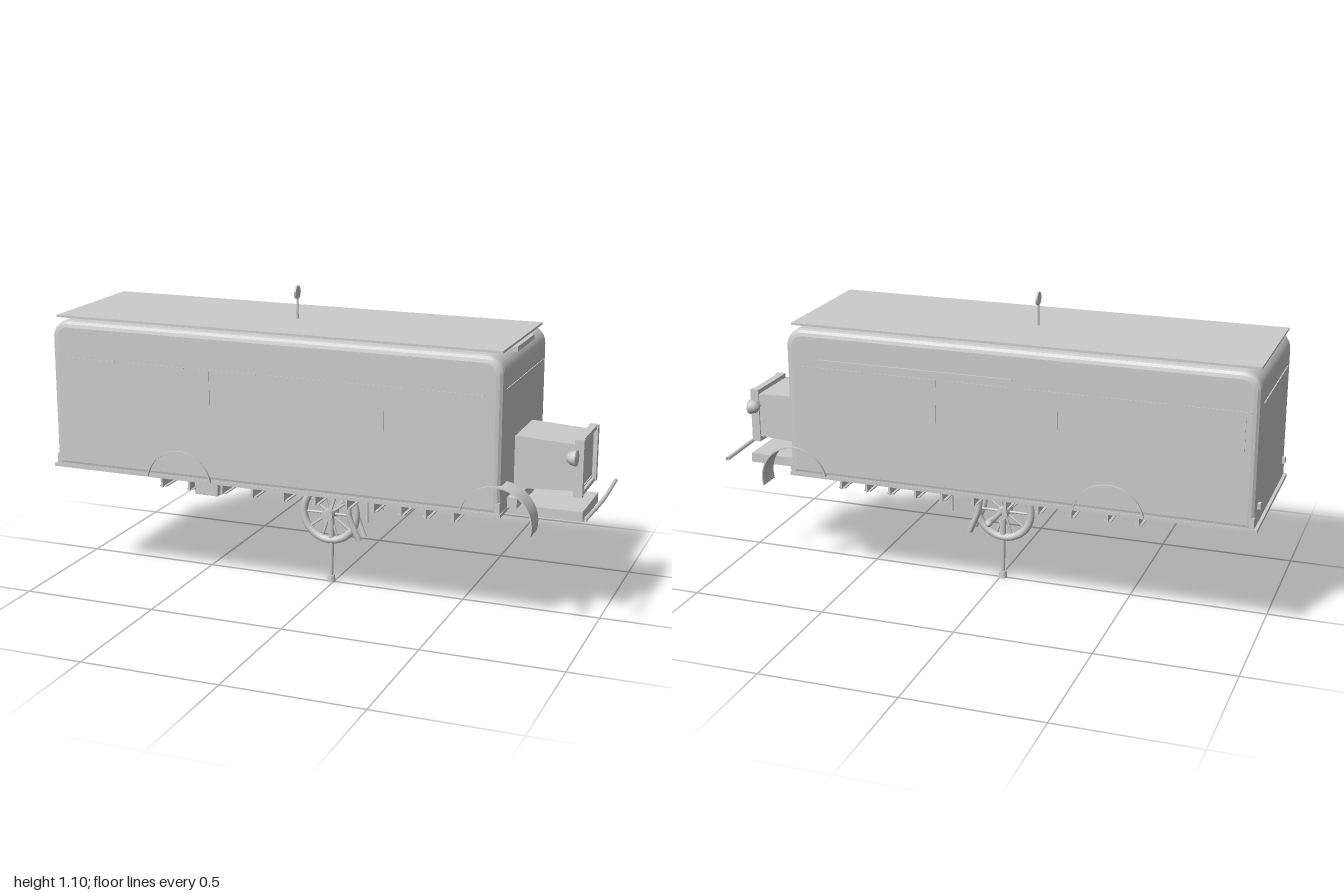
import * as THREE from 'three';

export function createModel() {
  const root = new THREE.Group();
  const mat = new THREE.MeshStandardMaterial({ color: 0xcccccc, side: THREE.DoubleSide });

  const add = (name, geo, x = 0, y = 0, z = 0) => {
    const m = new THREE.Mesh(geo, mat);
    m.name = name;
    m.position.set(x, y, z);
    root.add(m);
    return m;
  };
  // box given by its limits on each axis
  const box = (name, x0, x1, y0, y1, z0, z1) =>
    add(name, new THREE.BoxGeometry(x1 - x0, y1 - y0, z1 - z0), (x0 + x1) / 2, (y0 + y1) / 2, (z0 + z1) / 2);
  const tube = (name, pts, r, seg = 20) =>
    add(name, new THREE.TubeGeometry(new THREE.CatmullRomCurve3(pts.map(p => new THREE.Vector3(...p))), seg, r, 8));
  const rod = (name, r0, r1, h, x, y, z) => add(name, new THREE.CylinderGeometry(r1, r0, h, 16), x, y, z);
  // curved strip in the xy plane, extruded from z0 to z1
  const arch = (name, x, y, r, t, a0, a1, z0, z1) => {
    const s = new THREE.Shape();
    s.absarc(0, 0, r, a0, a1, false);
    s.absarc(0, 0, r - t, a1, a0, true);
    return add(name, new THREE.ExtrudeGeometry(s, { depth: z1 - z0, bevelEnabled: false, curveSegments: 24 }), x, y, z0);
  };

  // Body: side profile with rounded roof ends, bevelled toward both sides
  const x0 = -0.962, x1 = 0.682, y0 = 0.445, y1 = 0.947, r = 0.04;
  const side = new THREE.Shape();
  side.moveTo(x0, y0);
  side.lineTo(x1, y0);
  side.lineTo(x1, y1 - r);
  side.absarc(x1 - r, y1 - r, r, 0, Math.PI / 2, false);
  side.lineTo(x0 + r, y1);
  side.absarc(x0 + r, y1 - r, r, Math.PI / 2, Math.PI, false);
  add('body', new THREE.ExtrudeGeometry(side, {
    depth: 0.524, bevelThickness: 0.024, bevelSize: 0.024, bevelSegments: 3, curveSegments: 6,
  }), 0, 0, -0.262);
  box('skirt', -0.997, 0.708, 0.42, 0.432, -0.287, 0.287);
  box('bodyFloor', -0.985, 0.705, 0.421, 0.47, -0.284, 0.284);
  box('roofPanel', -0.98, 0.695, 0.976, 0.984, -0.255, 0.255);
  box('frontSign', 0.67, 0.705, 0.953, 0.971, -0.11, 0.11);

  // Side trim and door seams
  for (const s of [1, -1]) {
    const z = 0.2865 * s;
    for (let i = 0; i < 6; i++)
      box('beltTrim', -0.96 + i * 0.275, -0.73 + i * 0.275, 0.834, 0.838, z - 0.002, z + 0.002);
    for (const x of s > 0 ? [-0.36, 0.29] : [0.14, -0.3, -0.94])
      box('doorSeam', x - 0.002, x + 0.002, 0.68, 0.836, z - 0.002, z + 0.002);
    box('tailLamp', -0.997, -0.98, 0.49, 0.51, s * 0.235 - 0.01, s * 0.235 + 0.01);
  }
  box('gutter', -0.14, 0.58, 0.862, 0.868, -0.292, -0.285);
  box('rearTrim', -0.99, -0.983, 0.852, 0.856, -0.22, 0.22);
  box('frontTrim', 0.7, 0.709, 0.852, 0.856, -0.24, 0.24);

  // Roof mirror on a stalk
  rod('roofStalk', 0.005, 0.0035, 0.09, -0.14, 1.02, 0);
  rod('roofDisc', 0.024, 0.024, 0.007, -0.14, 1.08, 0).rotation.z = Math.PI / 2;

  // Hood, narrowing slightly toward the grille
  const hood = new THREE.BoxGeometry(0.215, 0.185, 0.23);
  const p = hood.attributes.position;
  for (let i = 0; i < p.count; i++) if (p.getX(i) > 0) {
    p.setY(i, p.getY(i) * 0.88);
    p.setZ(i, p.getZ(i) * 0.95);
  }
  hood.computeVertexNormals();
  add('hood', hood, 0.812, 0.57, 0);
  box('grille', 0.915, 0.93, 0.475, 0.66, -0.095, 0.095);
  for (const s of [1, -1]) {
    box('grilleSide', 0.913, 0.945, 0.468, 0.67, s * 0.105 - 0.01, s * 0.105 + 0.01);
    box('grilleRail', 0.913, 0.94, 0.568 + s * 0.094 - 0.007, 0.568 + s * 0.094 + 0.007, -0.1, 0.1);
  }
  box('grilleSill', 0.93, 0.934, 0.487, 0.491, -0.08, 0.08);
  box('cowl', 0.7, 0.74, 0.43, 0.468, -0.195, 0.195);

  // Headlights
  const lamp = [[0, -0.022], [0.012, -0.02], [0.022, -0.008], [0.027, 0.01], [0.027, 0.016], [0, 0.018]];
  for (const s of [1, -1]) {
    add('headlight', new THREE.LatheGeometry(lamp.map(q => new THREE.Vector2(...q)), 20),
      0.915, 0.615, s * 0.15).rotation.z = -Math.PI / 2;
    tube('headlightBracket', [[0.912, 0.61, s * 0.11], [0.912, 0.608, s * 0.135]], 0.005, 2);
  }

  // Bumper bar, bowed slightly
  const bow = [[0.985, 0.434, -0.245], [0.993, 0.434, 0], [0.985, 0.434, 0.245]];
  tube('bumper', bow, 0.007);

  // Fenders and rear wheel arches
  for (const s of [1, -1]) {
    const span = (a, b) => (s > 0 ? [a, b] : [-b, -a]);
    arch('frontFender', 0.69, 0.4, 0.13, 0.005, -0.24, 2.9, ...span(0.21, 0.295));
    arch('rearArch', -0.485, 0.4, 0.13, 0.005, 0.2, Math.PI - 0.2, ...span(0.2, 0.295));
  }

  // Chassis
  box('frontFrame', 0.3, 0.95, 0.385, 0.42, -0.12, 0.12);
  box('rearFrame', -0.8, -0.3, 0.385, 0.42, -0.12, 0.12);
  for (const s of [1, -1]) {
    box('frameRail', -0.31, 0.31, 0.385, 0.42, s * 0.11 - 0.01, s * 0.11 + 0.01);
    // outrigger brackets
    for (const x of [-0.58, -0.47, -0.34, -0.22, -0.1, 0.02, 0.14, 0.24, 0.34, 0.43, 0.53]) {
      box('outrigger', x - 0.004, x + 0.004, 0.37, 0.422, s * 0.18 - 0.06, s * 0.18 + 0.06);
      box('outriggerFoot', x - 0.013, x + 0.013, 0.37, 0.374, s * 0.18 - 0.05, s * 0.18 + 0.05);
    }
    // leaf springs
    tube('leafSpring', [[-0.27, 0.405, s * 0.05], [-0.08, 0.355, s * 0.05], [0.11, 0.405, s * 0.05]], 0.011);
    box('axlePad', -0.12, 0.06, 0.352, 0.372, s * 0.045 - 0.02, s * 0.045 + 0.02);
    rod('pedalRod', 0.005, 0.005, 0.13, 0.16, 0.34, s * 0.08);
  }
  for (const x of [-0.2, -0.08, 0.04, 0.18])
    box('crossMember', x - 0.012, x + 0.012, 0.385, 0.418, -0.11, 0.11);
  box('toolBox', -0.46, -0.37, 0.35, 0.42, 0.13, 0.21);
  tube('exhaustPipe', [[-0.65, 0.39, -0.17], [-0.3, 0.385, -0.16], [0.2, 0.39, -0.15]], 0.01);

  // Spoked wheel hung below the frame
  const wx = -0.015, wy = 0.265;
  add('wheelRim', new THREE.TorusGeometry(0.103, 0.014, 12, 40), wx, wy, 0);
  const hub = rod('wheelHub', 0.022, 0.022, 0.07, wx, wy, 0);
  hub.rotation.x = Math.PI / 2;
  for (let i = 0; i < 10; i++) {
    const a = i * Math.PI / 5;
    const spoke = rod('wheelSpoke', 0.005, 0.004, 0.085, wx + Math.cos(a) * 0.055, wy + Math.sin(a) * 0.055, 0);
    spoke.rotation.z = a - Math.PI / 2;
  }
  // curved arms beside the wheel
  for (const s of [1, -1])
    tube('wheelArm', [[0.0, 0.36, s * 0.026], [0.06, 0.335, s * 0.032], [0.075, 0.265, s * 0.032],
      [0.095, 0.215, s * 0.03], [0.11, 0.18, s * 0.026]], 0.011);

  // Hanging lever with end knob
  rod('lever', 0.007, 0.013, 0.24, -0.01, 0.145, 0);
  rod('leverKnob', 0.016, 0.013, 0.026, -0.01, 0.013, 0);
  // Sideways handle
  tube('handle', [[-0.01, 0.268, -0.02], [-0.01, 0.27, -0.09], [-0.01, 0.275, -0.15]], 0.009);
  add('handleKnob', new THREE.SphereGeometry(0.012, 16, 10), -0.01, 0.275, -0.155).scale.z = 1.6;

  return root;
}
